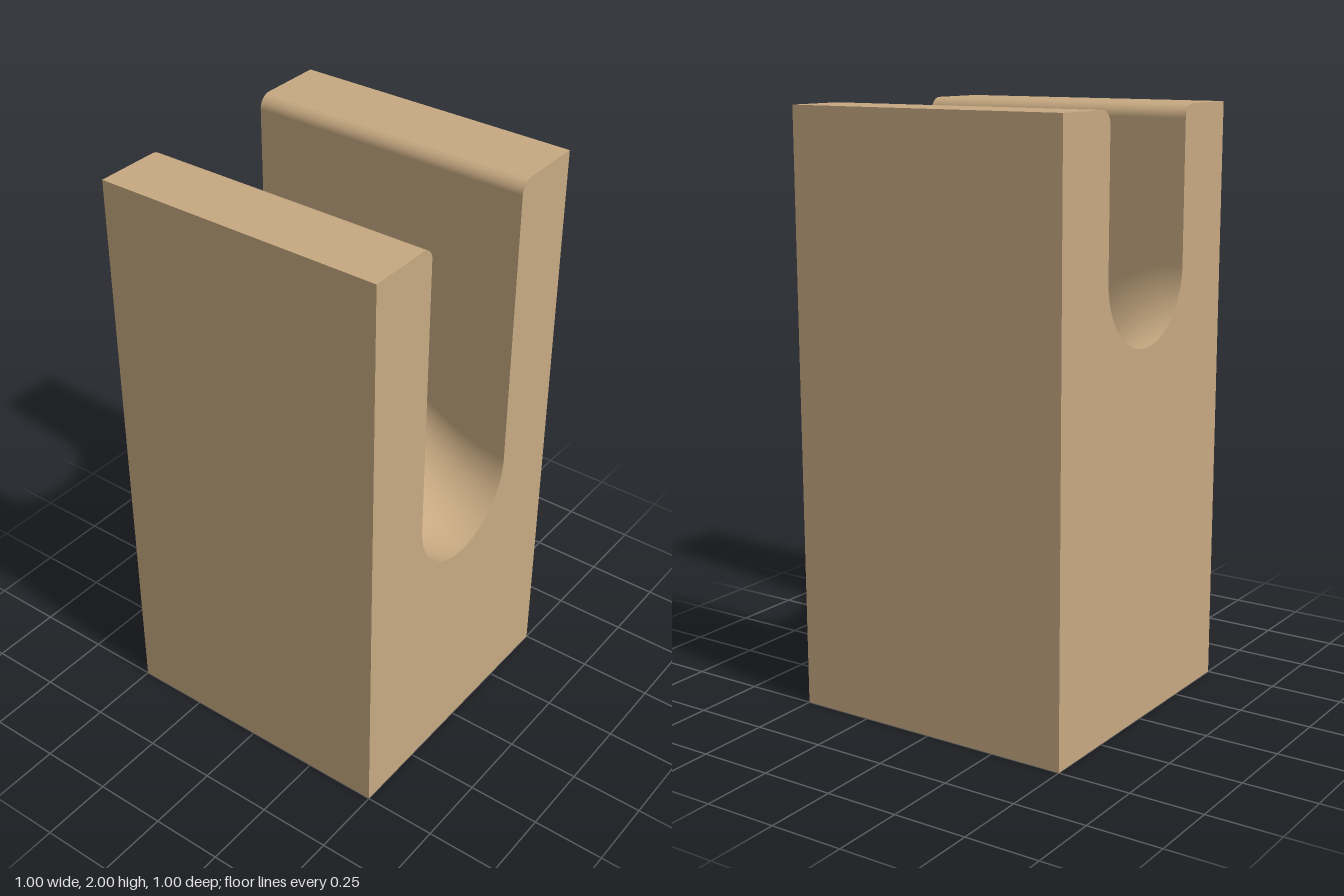
import * as THREE from 'three';

const HALF = 0.5, HEIGHT = 2, SLOT = 0.236, FILLET = 0.045;

// Height of the slot floor: an S-curve from the high end (-x) to the low end (+x)
const floorY = (x) => 1 - 0.25 * Math.sin(Math.PI * x);

// Slot outline in the z-y plane, from the back rim down, round the floor and up to the front rim
function slotProfile(x) {
  const pts = [];
  const rim = SLOT + FILLET, centre = floorY(x) + SLOT;
  for (let k = 0; k <= 8; k++) {
    const a = (k / 8) * Math.PI / 2;
    pts.push([-rim + FILLET * Math.sin(a), HEIGHT - FILLET + FILLET * Math.cos(a)]);
  }
  for (let k = 0; k <= 36; k++) {
    const a = (k / 36) * Math.PI;
    pts.push([-SLOT * Math.cos(a), centre - SLOT * Math.sin(a)]);
  }
  for (let k = 8; k >= 0; k--) {
    const a = (k / 8) * Math.PI / 2;
    pts.push([rim - FILLET * Math.sin(a), HEIGHT - FILLET + FILLET * Math.cos(a)]);
  }
  return pts;
}

// Smooth skin lofted through the slot outlines along x
function slotGeometry() {
  const steps = 48, pos = [], index = [];
  let n = 0;
  for (let i = 0; i <= steps; i++) {
    const x = -HALF + i / steps;
    const profile = slotProfile(x);
    n = profile.length;
    for (const [z, y] of profile) pos.push(x, y, z);
  }
  for (let i = 0; i < steps; i++) {
    for (let j = 0; j < n - 1; j++) {
      const a = i * n + j, b = a + 1, c = a + n, d = c + 1;
      index.push(a, b, c, b, d, c);
    }
  }
  const geo = new THREE.BufferGeometry();
  geo.setAttribute('position', new THREE.Float32BufferAttribute(pos, 3));
  geo.setIndex(index);
  geo.computeVertexNormals();
  return geo;
}

// Flat end face with the slot cut out of it
function endGeometry(side) {
  const shape = new THREE.Shape();
  shape.moveTo(-HALF, 0);
  shape.lineTo(-HALF, HEIGHT);
  for (const [z, y] of slotProfile(side * HALF)) shape.lineTo(z, y);
  shape.lineTo(HALF, HEIGHT);
  shape.lineTo(HALF, 0);
  return new THREE.ShapeGeometry(shape)
    .rotateY(side * Math.PI / 2)
    .translate(side * HALF, 0, 0);
}

export function createModel() {
  const group = new THREE.Group();
  group.name = 'slottedBlock';
  const tan = new THREE.MeshStandardMaterial({ color: 0xc8aa82 });
  tan.name = 'tan';

  const add = (name, geo) => {
    const mesh = new THREE.Mesh(geo, tan);
    mesh.name = name;
    group.add(mesh);
  };

  add('slot', slotGeometry());
  add('leftEnd', endGeometry(1));
  add('rightEnd', endGeometry(-1));

  // Outer walls and base
  add('frontWall', new THREE.PlaneGeometry(1, HEIGHT).translate(0, 1, HALF));
  add('backWall', new THREE.PlaneGeometry(1, HEIGHT).rotateY(Math.PI).translate(0, 1, -HALF));
  add('base', new THREE.PlaneGeometry(1, 1).rotateX(Math.PI / 2));

  // Flat tops on both sides of the slot
  const rim = SLOT + FILLET;
  for (const side of [1, -1]) {
    add(side > 0 ? 'frontTop' : 'backTop',
      new THREE.PlaneGeometry(1, HALF - rim).rotateX(-Math.PI / 2)
        .translate(0, HEIGHT, side * (HALF + rim) / 2));
  }
  return group;
}
